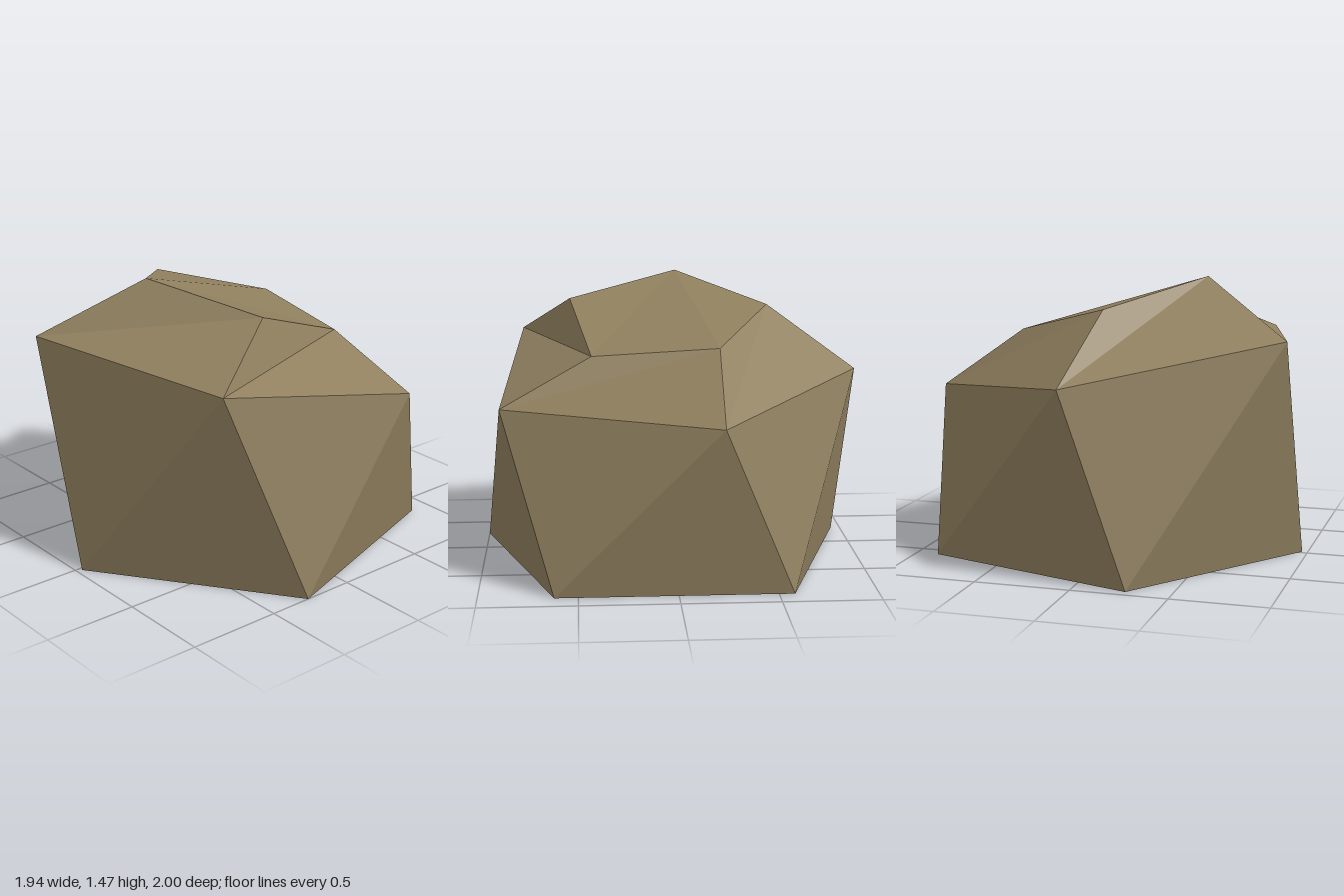
import * as THREE from 'three';

// Horizontal rings of five corners, each starting at the right rear and going round by the front
const BASE = [[-0.27, 0, -0.95], [-0.97, 0, 0.02], [-0.27, 0, 1], [0.88, 0, 0.62], [0.88, 0, -0.58]];
const SHOULDER = [[-0.94, 1.18, -0.37], [-0.66, 1.12, 0.8], [0.52, 0.88, 0.89], [0.97, 0.86, -0.22], [0.06, 0.99, -1]];
const CROWN = [[-0.46, 1.47, -0.06], [-0.18, 1.35, 0.53], [0.42, 1.13, 0.42], [0.51, 1.18, -0.23], [-0.03, 1.33, -0.53]];

// Unshared triangles keep every facet flat
function facetMesh(name, triangles, material) {
  const geometry = new THREE.BufferGeometry();
  geometry.setAttribute('position', new THREE.Float32BufferAttribute(triangles.flat(2), 3));
  geometry.computeVertexNormals();
  const mesh = new THREE.Mesh(geometry, material);
  mesh.name = name;
  return mesh;
}

export function createModel() {
  const stone = new THREE.MeshStandardMaterial({ color: 0x8f7f5e, flatShading: true, side: THREE.DoubleSide });
  stone.name = 'brown stone';

  const sides = [], slopes = [], top = [];
  for (let i = 0; i < 5; i++) {
    const j = (i + 1) % 5;
    // Steep sides alternate pointing up and down; the underside stays open
    sides.push([BASE[i], BASE[j], SHOULDER[i]], [BASE[j], SHOULDER[j], SHOULDER[i]]);
    // Sloping facets between the shoulder and the cut top
    slopes.push([SHOULDER[i], SHOULDER[j], CROWN[j]], [SHOULDER[i], CROWN[j], CROWN[i]]);
    // Five-sided cut top as a fan
    if (i > 0 && i < 4) top.push([CROWN[0], CROWN[i], CROWN[j]]);
  }

  const rock = new THREE.Group();
  rock.name = 'rock';
  rock.add(
    facetMesh('rockSides', sides, stone),
    facetMesh('rockSlopes', slopes, stone),
    facetMesh('rockTop', top, stone),
  );
  return rock;
}
